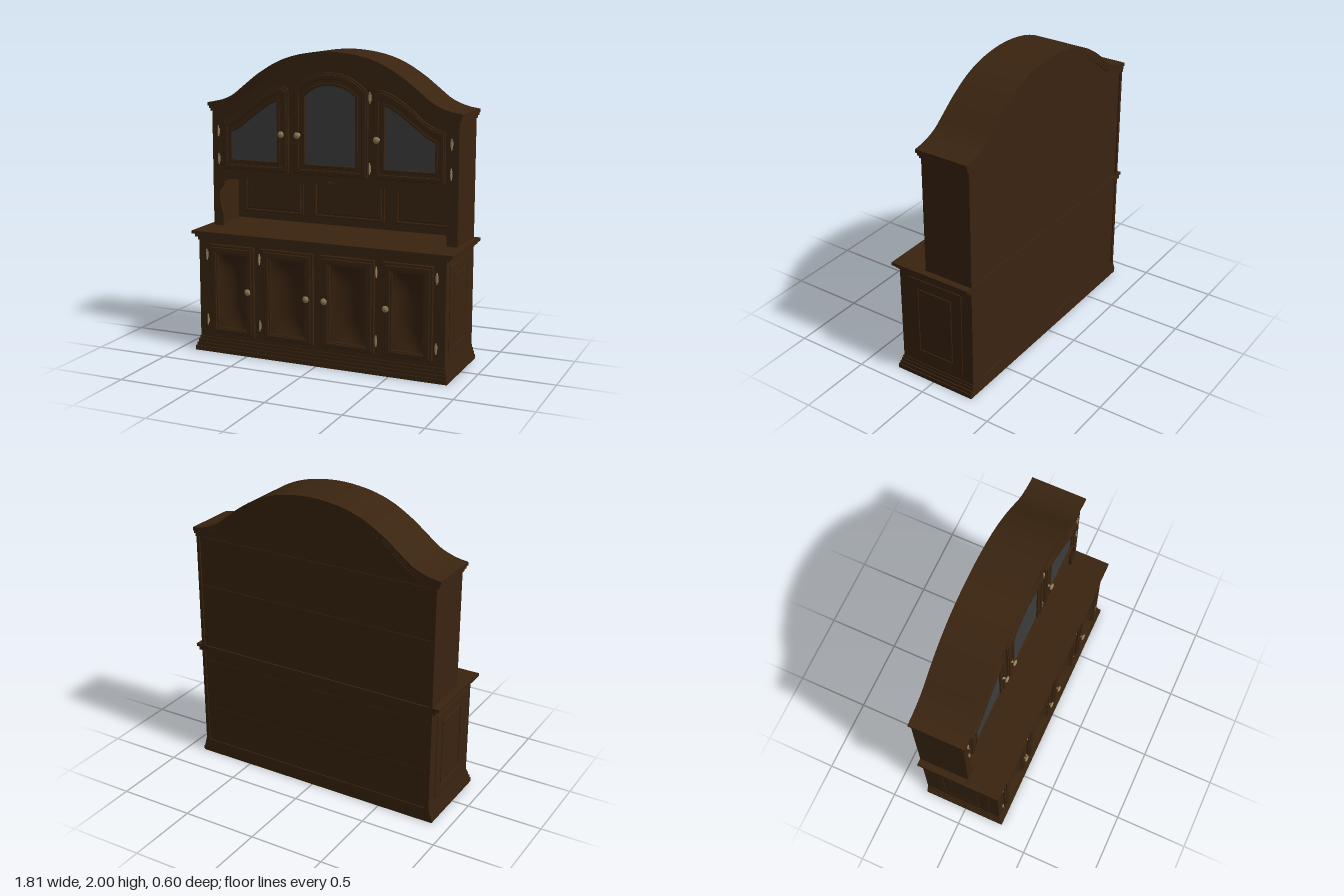
import * as THREE from 'three';

const mat = (name, color, side = THREE.FrontSide) => {
  const m = new THREE.MeshStandardMaterial({ color, side });
  m.name = name;
  return m;
};
const V = (x, y) => new THREE.Vector2(x, y);
const BACK = -0.297;

export function createModel() {
  const model = new THREE.Group();
  model.name = 'hutchCabinet';
  const wood = mat('darkWood', 0x3a2410);
  const glass = mat('smokedGlass', 0x3d3d3d);
  const brass = mat('agedBrass', 0x9c8660);

  const add = (name, geo, m = wood, x = 0, y = 0, z = 0, parent = model) => {
    const mesh = new THREE.Mesh(geo, m);
    mesh.name = name;
    mesh.position.set(x, y, z);
    parent.add(mesh);
    return mesh;
  };
  // box given by its limits
  const box = (name, x0, x1, y0, y1, z0, z1) =>
    add(name, new THREE.BoxGeometry(x1 - x0, y1 - y0, z1 - z0), wood, (x0 + x1) / 2, (y0 + y1) / 2, (z0 + z1) / 2);
  // outline (with optional holes) extruded from z0 to z1, bevelled towards the front
  const slab = (name, pts, holes, z0, z1, bevel = 0, m = wood) => {
    const s = new THREE.Shape(pts);
    holes.forEach(h => s.holes.push(new THREE.Path(h)));
    const geo = new THREE.ExtrudeGeometry(s, {
      depth: z1 - z0 - bevel, bevelEnabled: bevel > 0, bevelThickness: bevel,
      bevelSize: bevel, bevelOffset: -bevel, bevelSegments: 2
    });
    return add(name, geo, m, 0, 0, z0);
  };
  const rect = (x0, x1, y0, y1) => [V(x0, y0), V(x1, y0), V(x1, y1), V(x0, y1)];
  const mirror = pts => pts.map(p => V(-p.x, p.y)).reverse();
  const spline = (pts, n) => new THREE.SplineCurve(pts.map(p => V(p[0], p[1]))).getPoints(n);
  // outline between two outlines with matching points
  const blend = (a, b, t) => a.map((p, i) => p.clone().lerp(b[i], t));

  // ---------- lower cabinet ----------
  box('lowerBody', -0.86, 0.86, 0.06, 0.78, -0.29, 0.215);
  for (const s of [-1, 1]) box('lowerBackStile', Math.min(s * 0.835, s * 0.86), Math.max(s * 0.835, s * 0.86), 0.05, 0.78, BACK, -0.28);

  // plinth: stepped hollow rings
  [[0.885, 0.28, 0, 0.03], [0.878, 0.272, 0.03, 0.052], [0.87, 0.264, 0.052, 0.075], [0.865, 0.257, 0.075, 0.095]]
    .forEach(([w, zf, y0, y1]) => {
      const ring = new THREE.Shape(rect(-w, w, -zf, -BACK));
      ring.holes.push(new THREE.Path(rect(-0.835, 0.835, -0.23, 0.27)));
      const geo = new THREE.ExtrudeGeometry(ring, { depth: y1 - y0, bevelEnabled: false }).rotateX(-Math.PI / 2);
      add('plinthMoulding', geo, wood, 0, y0, 0);
    });

  // front frame with door openings
  const lowerDoors = [[-0.78, -0.45], [-0.395, -0.025], [0.025, 0.395], [0.45, 0.78]];
  const panelOf = ([a, b]) => rect(a + 0.065, b - 0.065, 0.175, 0.67);
  slab('lowerFrontFrame', rect(-0.86, 0.86, 0.06, 0.78), lowerDoors.map(panelOf), 0.21, 0.25);
  box('friezeMoulding', -0.866, 0.866, 0.755, 0.775, -0.29, 0.256);

  // lower doors with dished panels
  lowerDoors.forEach(d => {
    const outer = rect(d[0], d[1], 0.13, 0.735), inner = panelOf(d);
    slab('lowerDoorFrame', outer, [inner], 0.25, 0.264, 0.005);
    slab('lowerDoorMoulding', blend(outer, inner, 0.28), [blend(outer, inner, 0.8)], 0.262, 0.271, 0.005);
    const w = d[1] - d[0] - 0.13, h = 0.495;
    const dish = new THREE.PlaneGeometry(w, h, 12, 16);
    const p = dish.attributes.position;
    for (let i = 0; i < p.count; i++) {
      const u = p.getX(i) / (w / 2), v = p.getY(i) / (h / 2);
      p.setZ(i, -0.035 * (1 - u * u) * (1 - v ** 4));
    }
    dish.computeVertexNormals();
    add('lowerDoorPanel', dish, wood, (d[0] + d[1]) / 2, 0.4225, 0.257);
  });

  // framed panels on the cabinet ends
  for (const s of [-1, 1]) {
    const end = new THREE.Group();
    end.name = 'endPanel';
    end.rotation.y = s * Math.PI / 2;
    end.position.x = s * 0.86;
    model.add(end);
    const c = s * 0.02; // panel centre lies just behind the middle
    const o = rect(c - 0.2, c + 0.2, 0.14, 0.73), i = rect(c - 0.13, c + 0.13, 0.2, 0.665);
    end.add(slab('endPanelFrame', o, [i], 0, 0.005, 0.003));
    end.add(slab('endPanelField', blend(o, i, 1.12), [], 0, 0.005, 0.004));
  }
  // side wall of the front frame depth
  box('counterMoulding', -0.885, 0.885, 0.775, 0.795, BACK, 0.262);
  box('counterTop', -0.905, 0.905, 0.795, 0.815, BACK, 0.275);

  // ---------- upper cabinet ----------
  const half = [[-0.885, 1.645], [-0.8, 1.66], [-0.7, 1.7], [-0.6, 1.775], [-0.5, 1.85], [-0.36, 1.93], [-0.2, 1.98]];
  const archCurve = spline([...half, [0, 2], ...half.map(([x, y]) => [-x, y]).reverse()], 64);
  const arch = (w, drop) => archCurve.map(p => V(p.x * w / 0.885, p.y - drop));

  // cornice in stepped bands following the arch
  [[0.885, 0, 0.022, 0.066], [0.877, 0.02, 0.04, 0.06], [0.868, 0.038, 0.058, 0.053]]
    .forEach(([w, d0, d1, z]) => slab('cornice', [...arch(w, d0), ...arch(w, d1).reverse()], [], BACK, z));

  slab('upperBody', [V(0.86, 1.19), ...arch(0.86, 0.04).reverse(), V(-0.86, 1.19)], [], -0.288, 0.03);
  box('nicheBack', -0.86, 0.86, 0.815, 1.19, -0.288, -0.265);
  for (const s of [-1, 1])
    box('upperSide', Math.min(s * 0.838, s * 0.86), Math.max(s * 0.838, s * 0.86), 0.815, 1.6, BACK, 0.03);

  // face frame with a scalloped opening over the counter
  const edge = spline([[-0.79, 0.815], [-0.79, 0.9], [-0.81, 0.97], [-0.812, 1.05], [-0.785, 1.1], [-0.76, 1.13],
    [-0.62, 1.145], [-0.5, 1.135], [-0.4, 1.15], [-0.27, 1.13], [-0.15, 1.14], [0, 1.168]], 40);
  const opening = [...edge, ...mirror(edge).slice(1)];
  slab('faceFrame', [V(-0.86, 0.815), ...opening, V(0.86, 0.815), ...arch(0.86, 0.045).reverse()], [], 0.025, 0.045);

  // raised panels on the niche back
  [[-0.785, -0.335], [-0.255, 0.255], [0.335, 0.785]].forEach(([a, b]) => {
    slab('nichePanelFrame', rect(a, b, 0.865, 1.13), [rect(a + 0.015, b - 0.015, 0.88, 1.115)], -0.265, -0.255, 0.004);
    slab('nichePanel', rect(a + 0.022, b - 0.022, 0.887, 1.108), [], -0.265, -0.257, 0.006);
  });

  // glazed doors: moulded frame, raised bead and glass
  const glazedDoor = (outer, inner) => {
    slab('glazedDoorFrame', outer, [inner], 0.045, 0.056, 0.004);
    slab('glazedDoorMoulding', blend(outer, inner, 0.15), [blend(outer, inner, 0.5)], 0.055, 0.063, 0.004);
    slab('glazedDoorBead', blend(outer, inner, 0.78), [inner], 0.055, 0.061, 0.003);
    slab('doorGlass', inner, [], 0.045, 0.05, 0, glass);
  };
  const sideOuter = [V(-0.775, 1.205), V(-0.295, 1.205),
    ...spline([[-0.295, 1.745], [-0.33, 1.772], [-0.4, 1.755], [-0.52, 1.685], [-0.65, 1.58], [-0.775, 1.525]], 20)];
  const sideInner = [V(-0.71, 1.275), V(-0.375, 1.275),
    ...spline([[-0.375, 1.67], [-0.41, 1.657], [-0.47, 1.622], [-0.58, 1.54], [-0.65, 1.487], [-0.71, 1.457]], 20)];
  glazedDoor(sideOuter, sideInner);
  glazedDoor(mirror(sideOuter), mirror(sideInner));
  glazedDoor(
    [V(-0.26, 1.205), V(0.26, 1.205), ...spline([[0.26, 1.755], [0.2, 1.805], [0.11, 1.853], [0, 1.868], [-0.11, 1.853], [-0.2, 1.805], [-0.26, 1.755]], 20)],
    [V(-0.175, 1.275), V(0.175, 1.275), ...spline([[0.175, 1.715], [0.14, 1.745], [0.08, 1.774], [0, 1.784], [-0.08, 1.774], [-0.14, 1.745], [-0.175, 1.715]], 20)]
  );

  // shelf edges showing on the back
  [0.35, 0.7, 1.245, 1.58].forEach(y => box('backShelfEdge', -0.835, 0.835, y - 0.01, y + 0.01, -0.292, -0.28));

  // ---------- hardware ----------
  const knobGeo = new THREE.LatheGeometry(
    [[0.014, 0], [0.012, 0.004], [0.006, 0.008], [0.006, 0.018], [0.019, 0.022], [0.022, 0.027], [0.017, 0.033], [0, 0.036]]
      .map(([x, y]) => V(x, y)), 20).rotateX(Math.PI / 2);
  [-0.485, -0.065, 0.06, 0.48].forEach(x => add('lowerKnob', knobGeo, brass, x, 0.44, 0.262));
  [-0.335, -0.22, 0.33].forEach(x => add('upperKnob', knobGeo, brass, x, 1.46, 0.058));

  const pinGeo = new THREE.CapsuleGeometry(0.005, 0.065, 4, 10);
  const leafGeo = new THREE.BoxGeometry(0.016, 0.042, 0.005);
  const hinge = (x, y, z) => {
    const g = new THREE.Group();
    g.name = 'hinge';
    g.position.set(x, y, z);
    add('hingePin', pinGeo, brass, 0, 0, 0.005, g);
    add('hingeLeaf', leafGeo, brass, 0, 0, 0.002, g);
    model.add(g);
  };
  for (const x of [-0.8, -0.412, 0.405, 0.803]) for (const y of [0.215, 0.66]) hinge(x, y, 0.252);
  for (const x of [-0.813, 0.813]) for (const y of [1.27, 1.455]) hinge(x, y, 0.046);
  for (const y of [1.27, 1.72]) hinge(0.272, y, 0.046);

  return model;
}
